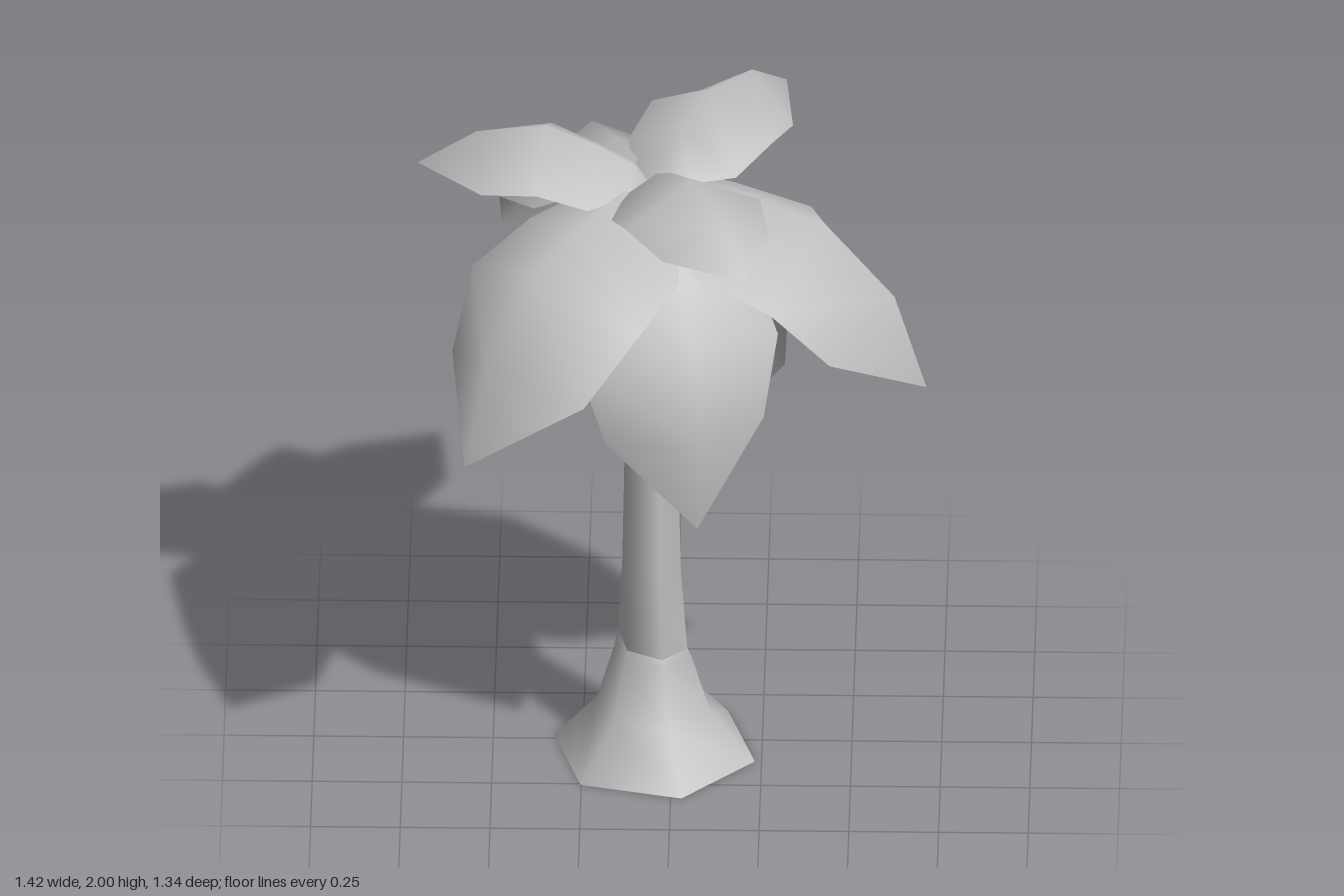
import * as THREE from 'three';
import { mergeVertices } from 'three/addons/utils/BufferGeometryUtils.js';

const grey = new THREE.MeshStandardMaterial({ color: 0xc0c0c0, side: THREE.DoubleSide });
grey.name = 'plain grey';
const rad = THREE.MathUtils.degToRad;

// Welds coincident points so the shading runs smoothly over seams and tips
function smooth(geometry) {
  geometry.deleteAttribute('uv');
  geometry.deleteAttribute('normal');
  const g = mergeVertices(geometry, 1e-4);
  g.computeVertexNormals();
  return g;
}

// Joins cross-sections (equal-length rows of points) into one smooth surface
function loft(rows) {
  const n = rows[0].length, idx = [];
  for (let i = 0; i < rows.length - 1; i++) {
    for (let j = 0; j < n - 1; j++) {
      const a = i * n + j, b = a + 1, c = a + n, d = c + 1;
      idx.push(a, b, c, b, d, c);
    }
  }
  const g = new THREE.BufferGeometry();
  g.setAttribute('position', new THREE.Float32BufferAttribute(rows.flat(2), 3));
  g.setIndex(idx);
  return smooth(g);
}

// Open six-sided tube from [radius, height, sloped] rings
function hexTube(name, rings) {
  const g = new THREE.LatheGeometry(rings.map(([r, y]) => new THREE.Vector2(r, y)), 6, rad(16));
  const p = g.attributes.position;
  for (let i = 0; i < p.count; i++) {
    const [, y, sloped] = rings[i % rings.length];
    const x = p.getX(i), z = p.getZ(i), lean = 0.008 * Math.min(y / 0.6, 1);
    const slope = sloped ? -0.15 * x - 0.1 * z : 0;
    p.setXYZ(i, x - 0.05 - lean, y + slope, z + 0.048 + lean);
  }
  const mesh = new THREE.Mesh(smooth(g), grey);
  mesh.name = name;
  return mesh;
}

// Leaf stations: spine x, spine y, edge x, edge y, half width
const stations = [
  [0, 0, 0, 0, 0],
  [0.05, 0.06, 0.047, 0.01, 0.097],
  [0.15, 0.115, 0.155, 0.01, 0.185],
  [0.29, 0.17, 0.295, 0.06, 0.205],
  [0.485, 0.14, 0.455, 0.03, 0.163],
  [0.65, 0.03, 0.65, 0.03, 0],
];

// Each section runs edge, spine, edge
function leafGeometry() {
  return loft(stations.map(([sx, sy, ex, ey, w]) => [[ex, ey, -w], [sx, sy, 0], [ex, ey, w]]));
}

export function createModel() {
  const model = new THREE.Group();
  model.name = 'palmTree';

  // Flared root and slim trunk
  model.add(hexTube('rootFlare', [[0.29, 0], [0.163, 0.145], [0.11, 0.32], [0.1, 0.355, true]]));
  model.add(hexTube('trunk', [[0.1, 0.355, true], [0.084, 0.6], [0.073, 1.2], [0.06, 1.83]]));

  // Crown: three tiers of three leaves
  const crown = new THREE.Group();
  crown.name = 'crown';
  crown.position.set(-0.063, 0, 0.065);
  const geometry = leafGeometry();
  const tiers = [
    { name: 'upperLeaf', height: 1.83, turn: 55, pitch: 0, size: 1 },
    { name: 'middleLeaf', height: 1.83, turn: -10, pitch: -38.5, size: 1.49 },
    { name: 'lowerLeaf', height: 1.78, turn: 49.5, pitch: -65.8, size: 1.43 },
  ];
  for (const { name, height, turn, pitch, size } of tiers) {
    for (let i = 0; i < 3; i++) {
      const leaf = new THREE.Mesh(geometry, grey);
      leaf.name = name + (i + 1);
      leaf.position.y = height;
      leaf.rotation.set(0, rad(turn + 120 * i), rad(pitch));
      leaf.scale.setScalar(size);
      crown.add(leaf);
    }
  }
  model.add(crown);
  return model;
}
